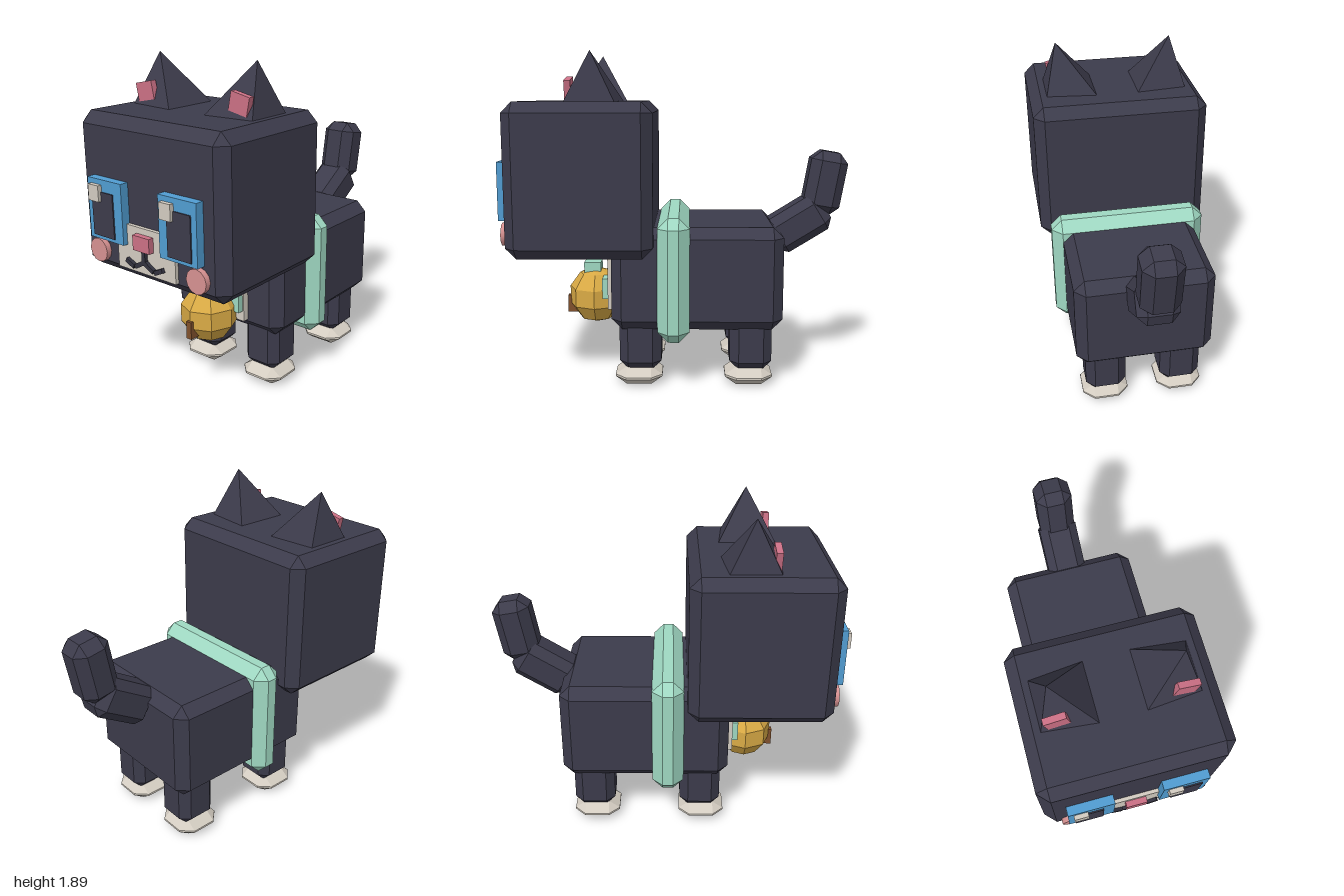
import * as THREE from 'three';
import { ConvexGeometry } from 'three/addons/geometries/ConvexGeometry.js';

const material = (name, color) => {
  const m = new THREE.MeshStandardMaterial({ color });
  m.name = name;
  return m;
};

// Box with every edge and corner cut off; cy lets the vertical cut be smaller
function chamferBox(w, h, d, c, cy = c) {
  const X = w / 2, Y = h / 2, Z = d / 2, pts = [];
  for (const i of [-1, 1]) for (const j of [-1, 1]) for (const k of [-1, 1]) {
    pts.push(
      new THREE.Vector3(i * X, j * (Y - cy), k * (Z - c)),
      new THREE.Vector3(i * (X - c), j * Y, k * (Z - c)),
      new THREE.Vector3(i * (X - c), j * (Y - cy), k * Z));
  }
  return new ConvexGeometry(pts);
}

export function createModel() {
  const group = new THREE.Group();
  group.name = 'cat';

  const fur = material('dark fur', 0x3c3b4b);
  const cream = material('cream', 0xd3ccc1);
  const mint = material('mint', 0x9fd8c2);
  const blue = material('blue', 0x519dd2);
  const pink = material('pink', 0xcb7085);
  const blush = material('blush', 0xd69191);
  const gold = material('gold', 0xd9aa45);
  const brown = material('brown', 0x80502c);
  const ink = material('ink', 0x33323f);
  gold.flatShading = true;

  const add = (name, geometry, mat, x, y, z) => {
    const mesh = new THREE.Mesh(geometry, mat);
    mesh.name = name;
    mesh.position.set(x, y, z);
    group.add(mesh);
    return mesh;
  };
  // Plain box given by its limits on each axis
  const block = (name, mat, x0, x1, y0, y1, z0, z1) =>
    add(name, new THREE.BoxGeometry(x1 - x0, y1 - y0, z1 - z0), mat,
      (x0 + x1) / 2, (y0 + y1) / 2, (z0 + z1) / 2);
  // Thin stroke on the face between two points
  const stroke = (name, x0, y0, x1, y1) => {
    const s = add(name, new THREE.BoxGeometry(Math.hypot(x1 - x0, y1 - y0) + 0.01, 0.024, 0.025), ink,
      (x0 + x1) / 2, (y0 + y1) / 2, 0.952);
    s.rotation.z = Math.atan2(y1 - y0, x1 - x0);
  };

  // Head, body and band around the body
  add('head', chamferBox(1.01, 0.85, 0.805, 0.06), fur, 0, 1.19, 0.522);
  add('body', chamferBox(0.79, 0.585, 0.965, 0.06), fur, 0, 0.632, -0.122);
  add('bodyBand', chamferBox(0.91, 0.705, 0.18, 0.06), mint, 0, 0.632, 0.01);
  block('chestBib', cream, -0.183, 0.183, 0.41, 0.8, 0.34, 0.397);

  // Legs and paws
  for (const s of [-1, 1]) for (const [end, z] of [['front', 0.2], ['back', -0.43]]) {
    add(end + 'Leg', chamferBox(0.237, 0.37, 0.24, 0.05), fur, s * 0.223, 0.275, z);
    add(end + 'Paw', chamferBox(0.27, 0.104, 0.27, 0.064, 0.046), cream, s * 0.225, 0.052, z + 0.01);
  }

  // Tail in two bent sections
  add('tailBase', chamferBox(0.23, 0.23, 0.365, 0.05), fur, 0, 0.898, -0.722).rotation.x = 0.556;
  add('tailTip', chamferBox(0.215, 0.37, 0.215, 0.055), fur, 0, 1.14, -0.875).rotation.x = -0.172;

  // Ears, leaning outward
  for (const s of [-1, 1]) {
    add('ear', new ConvexGeometry([
      [0.335, 1.887, 0.46], [0.412, 1.605, 0.32], [0.412, 1.605, 0.6],
      [0.115, 1.605, 0.29], [0.115, 1.605, 0.628],
    ].map(([x, y, z]) => new THREE.Vector3(s * x, y, z))), fur, 0, 0, 0);
    add('innerEar', new THREE.BoxGeometry(0.118, 0.1, 0.035), pink, s * 0.324, 1.688, 0.577)
      .rotation.z = -s * 0.2;
  }

  // Eyes: the glint sits on the same side of both
  for (const s of [-1, 1]) {
    const x = s * 0.255;
    block('iris', blue, x - 0.125, x + 0.125, 0.965, 1.29, 0.9, 0.973);
    const p = s * 0.268;
    block('pupil', fur, p - 0.078, p + 0.078, 0.985, 1.225, 0.965, 0.98);
    block('glint', cream, x - 0.096, x - 0.02, 1.175, 1.262, 0.965, 0.997);
    add('cheek', new THREE.CylinderGeometry(0.066, 0.066, 0.05, 12), blush, s * 0.35, 0.887, 0.93)
      .rotation.x = Math.PI / 2;
    stroke('mouthInner', 0, 0.9, s * 0.06, 0.867);
    stroke('mouthOuter', s * 0.078, 0.864, s * 0.125, 0.886);
  }
  block('muzzle', cream, -0.205, 0.205, 0.83, 1.075, 0.9, 0.945);
  block('nose', pink, -0.058, 0.058, 0.962, 1.042, 0.93, 0.977);
  stroke('mouthLine', 0, 0.96, 0, 0.895);

  // Bell with its strap, loop and clapper
  block('bellStrap', mint, -0.173, 0.173, 0.47, 0.59, 0.37, 0.43);
  add('bell', new THREE.SphereGeometry(0.17, 8, 5), gold, 0, 0.455, 0.48);
  block('bellLoop', mint, -0.05, 0.05, 0.58, 0.66, 0.45, 0.55);
  block('bellClapper', brown, -0.018, 0.018, 0.347, 0.45, 0.59, 0.655);

  return group;
}
